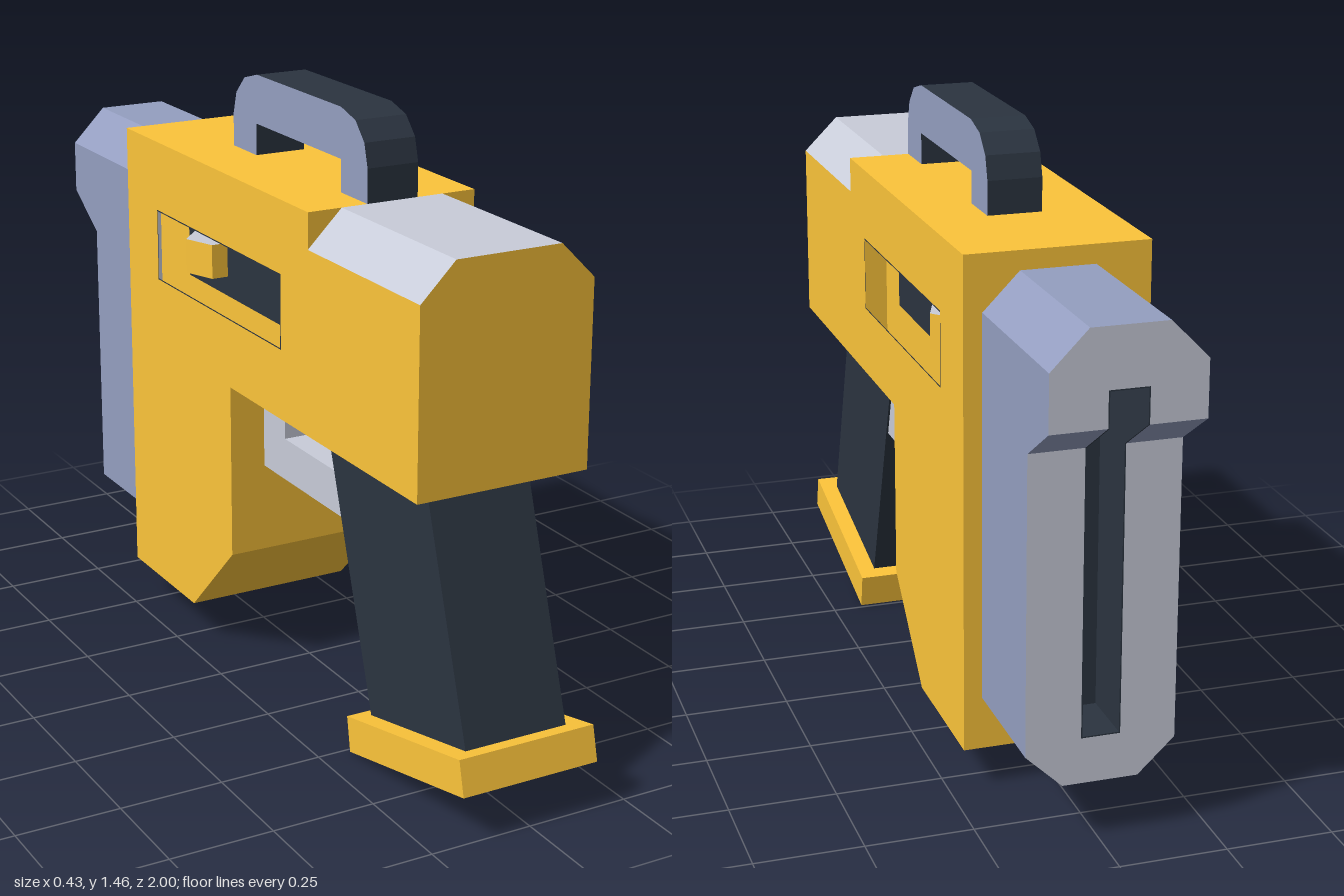
import * as THREE from 'three';

const paint = (color) => new THREE.MeshStandardMaterial({ color, flatShading: true });

export function createModel() {
  const model = new THREE.Group();
  const yellow = paint(0xfcc43a);
  const dark = paint(0x2b3440);
  const slate = paint(0x949ec0);
  const grey = paint(0xc8ccd9);

  const toShape = (pts) => new THREE.Shape(pts.map(([a, b]) => new THREE.Vector2(a, b)));
  const add = (name, geometry, material) => {
    const mesh = new THREE.Mesh(geometry, material);
    mesh.name = name;
    model.add(mesh);
  };
  const extrude = (shape, depth) =>
    new THREE.ExtrudeGeometry(shape, { depth, bevelEnabled: false });

  // Side profile given as [z, y], extruded from x0 to x1
  const flip = (pts) => pts.map(([z, y]) => [-z, y]);
  const sideways = (pts, x0, x1, hole) => {
    const shape = toShape(flip(pts));
    if (hole) shape.holes.push(toShape(flip(hole)));
    return extrude(shape, x1 - x0).rotateY(Math.PI / 2).translate(x0, 0, 0);
  };
  // Front profile given as [x, y], extruded from z0 to z1
  const lengthways = (shape, z0, z1) => extrude(shape, z1 - z0).translate(0, 0, z0);
  const rect = (a0, a1, b0, b1) => [[a0, b0], [a1, b0], [a1, b1], [a0, b1]];

  // Main body: a core and two side plates with a recessed window
  const W = 0.215, CORE = 0.125, T = 0.003;
  const bodyProfile = [[0.385, 0.745], [0.385, 1.265], [-0.563, 1.265], [-0.563, 0.097],
    [-0.22, 0.097], [0, 0.312], [0, 0.745]];
  const windowOuter = rect(-0.392, 0.257, 0.913, 1.092);
  const windowInner = rect(-0.392 + T, 0.257 - T, 0.913 + T, 1.092 - T);
  add('bodyCore', sideways(bodyProfile, -CORE, CORE), yellow);
  for (const s of [-1, 1]) {
    const label = s > 0 ? 'left' : 'right';
    const span = (a, b) => (s > 0 ? [a, b] : [-b, -a]);
    add(label + 'BodyPlate', sideways(bodyProfile, ...span(CORE, W), windowOuter), yellow);
    add(label + 'WindowFloor', sideways(windowOuter, ...span(CORE, CORE + T)), dark);
    add(label + 'WindowFrame', sideways(windowOuter, ...span(CORE, W), windowInner), dark);
    // Wedge-shaped bolt in the window: grey top and bottom, yellow faces
    const wedge = toShape([[0.125, 0.18], [0.17, 0.18], [0.2, 0.26], [0.125, 0.345]]
      .map(([x, y]) => [s * x, y]));
    add(label + 'Bolt', extrude(wedge, 0.085).rotateX(-Math.PI / 2).translate(0, 0.962, 0),
      [grey, yellow]);
  }

  // Front section with a chamfered grey top
  add('frontBody', lengthways(toShape(rect(-W, W, 0.745, 1.18)), 0.385, 0.86), yellow);
  add('frontTop', lengthways(toShape([[-W, 1.18], [W, 1.18], [0.13, 1.265], [-0.13, 1.265]]),
    0.385, 0.86), [yellow, grey]);

  // Carrying handle
  add('carryHandle', sideways([[0.385, 1.265], [0.385, 1.345], [0.37, 1.4], [0.33, 1.443],
    [0.265, 1.461], [-0.14, 1.461], [-0.205, 1.443], [-0.248, 1.4], [-0.264, 1.345],
    [-0.264, 1.265], [-0.145, 1.265], [-0.145, 1.342], [0.267, 1.342], [0.267, 1.265]],
  -0.065, 0.065), [slate, dark]);

  // Grip, its base plate and the guard
  add('grip', sideways([[0.753, 0.75], [0.938, 0.18], [0.535, 0.09], [0.318, 0.75]],
    -0.13, 0.13), dark);
  add('gripBase', sideways([[0.98, 0.195], [1, 0.113], [0.512, 0], [0.497, 0.085]],
    -0.173, 0.173), yellow);
  add('guard', sideways([[0, 0.53], [0.4, 0.53], [0.4, 0.633], [0.107, 0.633],
    [0.107, 0.745], [0, 0.745]], -0.125, 0.125), grey);

  // Rear block: chamfered section, solid near the body and slotted behind
  const B = 0.172, C = 0.087, S = 0.045;
  const section = () => toShape([[-C, 0.142], [C, 0.142], [B, 0.223], [B, 1.133], [C, 1.22],
    [-C, 1.22], [-B, 1.133], [-B, 0.223]]);
  const slotted = section();
  slotted.holes.push(toShape(rect(-S, S, 0.25, 1.085)));
  add('rearBlock', lengthways(section(), -0.72, -0.563), [grey, slate]);
  add('rearSlottedBlock', lengthways(slotted, -0.87, -0.72), [grey, slate]);

  // Overhang at the top rear, its underside sloping up to the back
  const overhang = lengthways(toShape([[-B, 0.918], [-S, 0.918], [-S, 1.085], [S, 1.085],
    [S, 0.918], [B, 0.918], [B, 1.133], [C, 1.22], [-C, 1.22], [-B, 1.133]]), -1, -0.87);
  const p = overhang.attributes.position;
  for (let i = 0; i < p.count; i++) {
    if (p.getZ(i) < -0.95 && p.getY(i) < 0.95) p.setY(i, 1.003);
  }
  overhang.computeVertexNormals();
  add('rearOverhang', overhang, [grey, slate]);

  // Dark lining of the rear slot: floor with both ends, then the two side walls
  add('rearSlotFloor', sideways([[-1, 1.085], [-0.72, 1.085], [-0.72, 0.25], [-0.87, 0.25],
    [-0.87, 0.25 + T], [-0.72 - T, 0.25 + T], [-0.72 - T, 1.085 - T], [-1, 1.085 - T]],
  -S, S), dark);
  const slotWall = [[-0.72, 0.25], [-0.72, 1.085], [-1, 1.085], [-1, 1.003],
    [-0.87, 0.918], [-0.87, 0.25]];
  add('rearSlotLeftWall', sideways(slotWall, S - T, S), dark);
  add('rearSlotRightWall', sideways(slotWall, -S, T - S), dark);

  return model;
}
